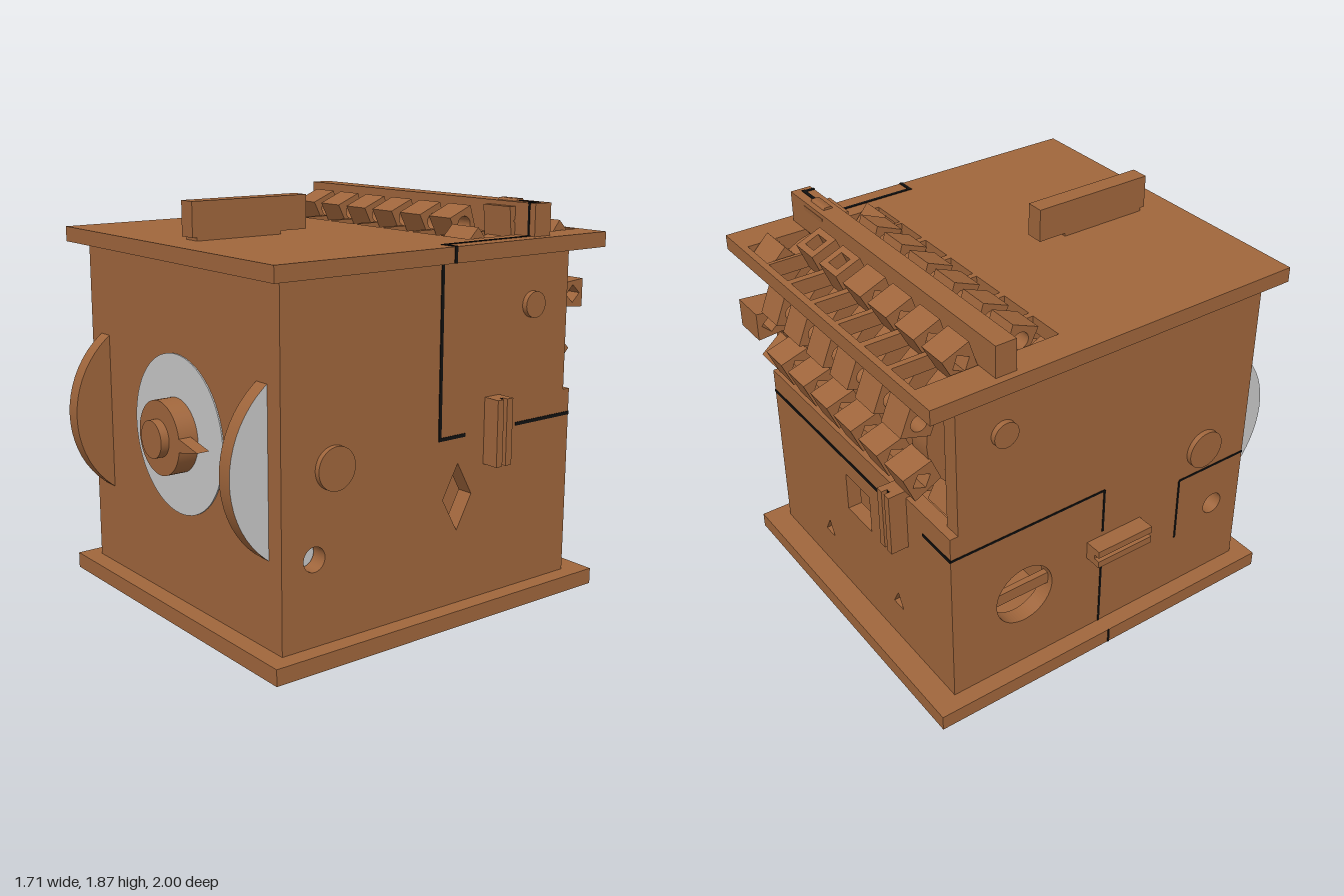
import * as THREE from 'three';

const wood = new THREE.MeshStandardMaterial({ color: 0xa0663c });
wood.name = 'wood';
const black = new THREE.MeshStandardMaterial({ color: 0x101010 });
black.name = 'black cord';
const grey = new THREE.MeshStandardMaterial({ color: 0xc9c9c9 });
grey.name = 'pale grey';

const add = (parent, name, geo, mat = wood) => {
  const m = new THREE.Mesh(geo, mat);
  m.name = name;
  parent.add(m);
  return m;
};

// box given by its limits on each axis
function box(parent, name, x0, x1, y0, y1, z0, z1, mat = wood) {
  const m = add(parent, name, new THREE.BoxGeometry(x1 - x0, y1 - y0, z1 - z0), mat);
  m.position.set((x0 + x1) / 2, (y0 + y1) / 2, (z0 + z1) / 2);
  return m;
}

const poly = pts => pts.map(p => new THREE.Vector2(p[0], p[1]));
const rect = (x0, x1, y0, y1) => poly([[x0, y0], [x1, y0], [x1, y1], [x0, y1]]);
const disc = (x, y, r) => new THREE.Path().absarc(x, y, r, 0, Math.PI * 2).getPoints(32).slice(0, -1);

// flat panel with cut-outs
function panel(outline, holes, depth) {
  const s = new THREE.Shape(outline);
  holes.forEach(h => s.holes.push(new THREE.Path(h)));
  return new THREE.ExtrudeGeometry(s, { depth, bevelEnabled: false });
}

// horizontal cylinder along x, its top cap facing side s
function axle(parent, name, s, x, y, z, r, len, mat = wood) {
  const m = add(parent, name, new THREE.CylinderGeometry(r, r, len, 64), mat);
  m.rotation.z = -s * Math.PI / 2;
  m.position.set(x, y, z);
}

// sliding catch: long on y, sticking out on +z, with a grooved face
function slider(parent, name) {
  const g = new THREE.Group();
  g.name = name;
  box(g, 'catchBase', -0.045, 0.045, -0.153, 0.153, -0.02, 0.055);
  for (const s of [-1, 1])
    box(g, 'catchRail', s * 0.028 - 0.018, s * 0.028 + 0.018, -0.153, 0.153, 0.055, 0.085);
  parent.add(g);
  return g;
}

// code wheel: hub with eight hollow lugs
function codeWheel(parent, x, width, offset, windowed) {
  const g = new THREE.Group();
  g.name = 'codeWheel';
  g.rotation.y = Math.PI / 2;
  g.position.set(x, 1.395, -0.573);
  const hub = add(g, 'wheelHub', new THREE.CylinderGeometry(0.3, 0.3, width * 0.8, 32));
  hub.rotation.x = Math.PI / 2;
  hub.position.z = width / 2;
  for (let i = 0; i < 8; i++) {
    const a = offset + i * Math.PI / 4;
    let geo;
    if (windowed && i === 0) {
      geo = panel(rect(-0.065, 0.065, 0, width), [rect(-0.035, 0.035, 0.035, width - 0.035)], 0.14);
      geo.rotateX(Math.PI / 2).scale(1, 1, 1).translate(0, 0.43, 0);
    } else {
      const hole = i % 3 === 1 ? disc(0, 0.365, 0.038)
        : poly([[0, 0.32], [0.042, 0.365], [0, 0.41], [-0.042, 0.365]]);
      geo = panel(poly([[-0.055, 0.29], [0.055, 0.29], [0.067, 0.43], [-0.067, 0.43]]), [hole], width);
    }
    add(g, 'wheelLug', geo).rotation.z = -a;
  }
  parent.add(g);
}

export function createModel() {
  const root = new THREE.Group();
  root.name = 'puzzleBox';
  const starts = [-0.69, -0.49, -0.285, -0.085, 0.118, 0.322];

  // base plate with a cut-out underneath
  const base = add(root, 'basePlate', panel(rect(-0.85, 0.85, -0.9, 0.955),
    [poly([[0.156, -0.26], [-0.27, -0.12], [-0.23, 0.06], [0.17, 0.2]])], 0.075));
  base.rotation.x = -Math.PI / 2;
  box(root, 'innerFloor', -0.69, 0.69, 0.075, 0.09, -0.77, 0.74);

  // top plate with a slot for every wheel
  const slots = starts.map(x => rect(x - 0.006, x + 0.165, 0.25, 0.925));
  slots.push(rect(0.505, 0.69, 0.25, 0.925));
  const top = add(root, 'topPlate', panel(rect(-0.845, 0.848, -0.895, 0.957), slots, 0.07));
  top.rotation.x = -Math.PI / 2;
  top.position.y = 1.63;

  // side walls (panel x runs towards the back)
  const sideHoles = {
    '1': [disc(-0.65, 0.46, 0.055), poly([[0.14, 0.42], [0.225, 0.575], [0.14, 0.73], [0.055, 0.575]])],
    '-1': [disc(-0.65, 0.46, 0.055), disc(0.46, 0.47, 0.15)],
  };
  for (const s of [1, -1]) {
    const wall = add(root, 'sideWall', panel(rect(-0.815, 0.8, 0.075, 1.63), sideHoles[s], 0.08));
    wall.rotation.y = Math.PI / 2;
    wall.position.x = s > 0 ? 0.69 : -0.77;
    // wheel showing through the front, pale on its outer face
    axle(root, 'frontWheel', s, s * 0.644, 0.835, 0.5375, 0.4625, 0.075, [wood, grey, wood]);
    axle(root, 'wheelAxle', s, s * 0.73, 0.835, 0.55, 0.095, 0.13);
    axle(root, 'drumAxleEnd', s, s * 0.73, 1.395, -0.573, 0.06, 0.13);
  }
  box(root, 'innerBar', -0.74, -0.71, 0.44, 0.5, -0.63, -0.29);

  // front and back walls, inner compartment
  box(root, 'frontWall', -0.69, 0.69, 0.075, 1.63, 0.74, 0.815);
  const tri = x => poly([[x - 0.04, 0.27], [x + 0.04, 0.27], [x, 0.345]]);
  const back = add(root, 'backWall', panel(rect(-0.77, 0.77, 0.075, 0.97),
    [rect(-0.11, 0.1, 0.56, 0.76), tri(0.31), tri(-0.32)], 0.07));
  back.position.z = -0.84;
  box(root, 'drumShelf', -0.69, 0.69, 0.9, 0.95, -0.77, -0.1);
  box(root, 'drumPartition', -0.69, 0.69, 0.09, 1.63, -0.12, -0.08);
  box(root, 'backInnerPanel', -0.69, 0.69, 0.09, 0.9, -0.72, -0.7);

  // code drum
  starts.forEach((x, i) => codeWheel(root, x, 0.143, Math.PI / 8, i > 3));
  codeWheel(root, 0.512, 0.168, 0, false);
  axle(root, 'drumShaft', 1, 0, 1.395, -0.573, 0.2, 1.38);

  // reading bar across the drum, with its small pointer
  box(root, 'readingBar', -0.812, 0.802, 1.7, 1.845, -0.638, -0.54);
  const bead = add(root, 'barPointer', new THREE.CylinderGeometry(0.035, 0.035, 0.115, 6));
  bead.rotation.z = Math.PI / 2;
  bead.position.set(0.603, 1.825, -0.588);

  // lid handle
  box(root, 'handleNeck', -0.05, 0.035, 1.69, 1.72, 0.28, 0.72);
  box(root, 'handle', -0.05, 0.035, 1.715, 1.87, 0.139, 0.743);

  // front dial with knob and pointer
  const dial = new THREE.Group();
  dial.name = 'dial';
  dial.position.set(0, 0.853, 0.815);
  root.add(dial);
  [['dialFace', 0.362, 0.006, grey], ['dialKnob', 0.168, 0.1, wood], ['dialHub', 0.085, 0.14, wood]]
    .forEach(([name, r, h, mat]) => {
      const m = add(dial, name, new THREE.CylinderGeometry(r, r, h, 64), mat);
      m.rotation.x = Math.PI / 2;
      m.position.z = h / 2;
    });
  const hand = add(dial, 'dialPointer', panel(poly([[0.14, -0.036], [0.31, 0], [0.14, 0.036]]), [], 0.06));
  hand.position.z = 0.04;

  // sliding catches
  const right = slider(root, 'leftCatch');
  right.rotation.y = Math.PI / 2;
  right.position.set(0.77, 0.853, -0.34);
  const rear = slider(root, 'backCatch');
  rear.rotation.y = Math.PI;
  rear.position.set(-0.39, 0.853, -0.84);
  const left = slider(root, 'rightCatch');
  left.rotation.set(0, -Math.PI / 2, Math.PI / 2);
  left.position.set(-0.77, 0.55, 0.037);

  // dark cords lying in the grooves
  const t = 0.008, e = 0.003;
  const cord = (...b) => box(root, 'cord', ...b, black);
  cord(0.655, 0.77 + t, 1.84, 1.845 + e, -0.588 - t, -0.588 + t);
  cord(0.765 - t, 0.765 + t, 1.84, 1.845 + e, -0.588, -0.54 + e);
  cord(0.765 - 0.005, 0.765 + 0.005, 1.7, 1.845, -0.542, -0.54 + e);
  cord(0.77 - t, 0.77 + t, 1.697, 1.7 + e, -0.54, -0.03 + t);
  cord(0.77, 0.848 + e, 1.697, 1.7 + e, -0.03 - t, -0.03 + t);
  cord(0.845, 0.848 + e, 1.63, 1.7 + e, -0.03 - t, -0.03 + t);
  cord(0.767, 0.77 + e, 0.853 - t, 1.63, -0.03 - t, -0.03 + t);
  cord(0.767, 0.77 + e, 0.853 - t, 0.853 + t, -0.18, -0.03);
  cord(0.767, 0.77 + e, 0.853 - t, 0.853 + t, -0.84, -0.49);
  cord(0.82, 0.828, 0.7, 1.005, -0.34 - t, -0.34 + t);
  cord(-0.27, 0.77, 0.853 - t, 0.853 + t, -0.84 - e, -0.837);
  cord(-0.77, -0.56, 0.853 - t, 0.853 + t, -0.84 - e, -0.837);
  cord(-0.39 - t, -0.39 + t, 0.7, 1.005, -0.898, -0.89);
  const c = 0.005;
  cord(-0.77 - e, -0.767, 0.853 - c, 0.853 + c, -0.84, -0.03);
  cord(-0.77 - e, -0.767, 0.62, 0.853, -0.03 - c, -0.03 + c);
  cord(-0.77 - e, -0.767, 0.075, 0.48, -0.03 - c, -0.03 + c);
  cord(-0.77 - e, -0.767, 0.36, 0.7, 0.42 - c, 0.42 + c);
  cord(-0.77 - e, -0.767, 0.7 - c, 0.7 + c, 0.42, 0.815);
  cord(-0.85 - e, -0.847, 0, 0.075, -0.03 - c, -0.03 + c);
  cord(-0.85, -0.24, -0.001, 0.002, -0.03 - c, -0.03 + c);
  return root;
}
